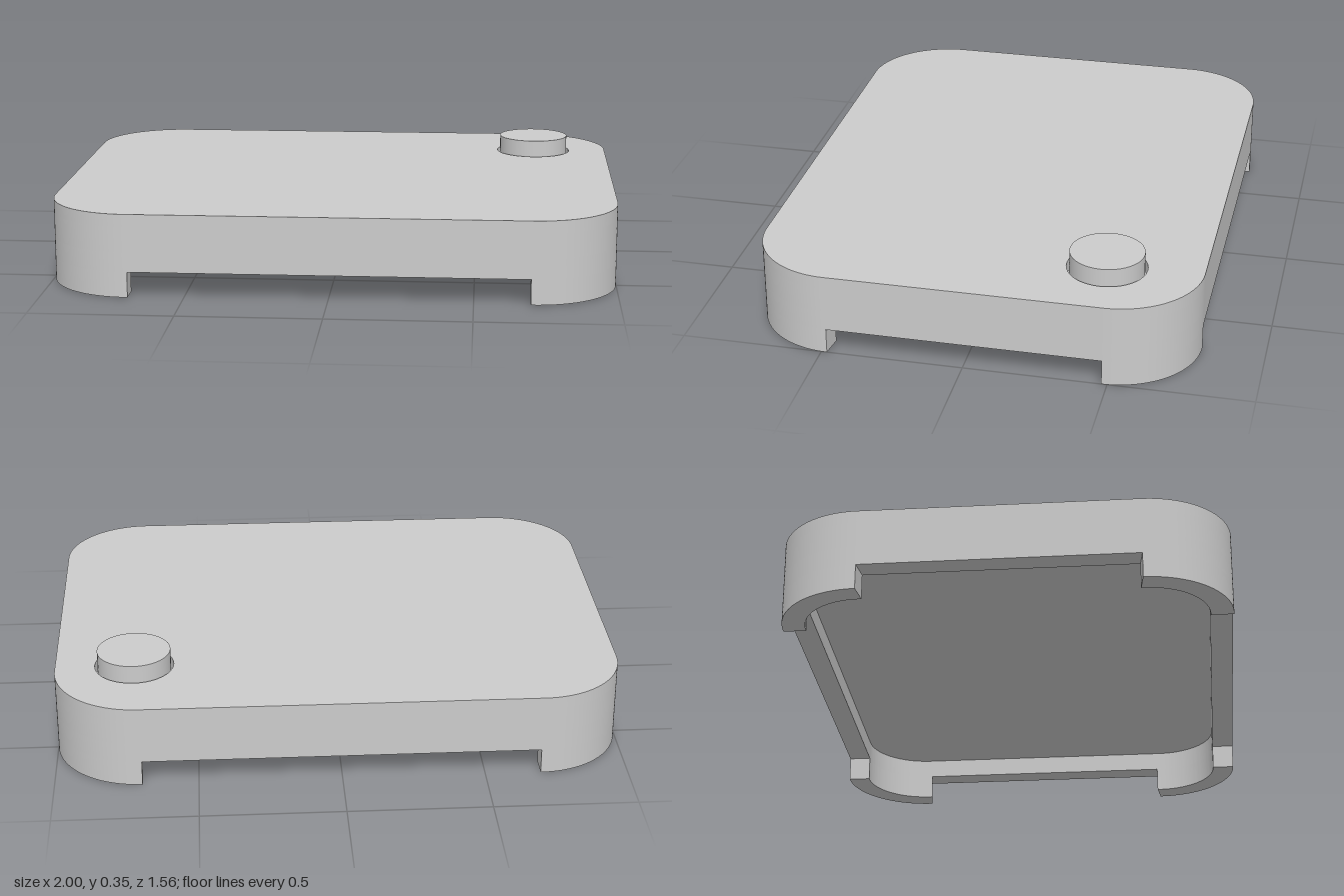
import * as THREE from 'three';
import { toCreasedNormals } from 'three/addons/utils/BufferGeometryUtils.js';

const HALF_X = 1, HALF_Z = 0.78, RADIUS = 0.3, WALL = 0.08;
const LEG_TOP = 0.09, UNDERSIDE = 0.16, RECESS = 0.25, TOP = 0.295;
const BUTTON = { x: 0.72, z: -0.445, r: 0.13, gap: 0.01, top: 0.355 };

const material = new THREE.MeshStandardMaterial({ color: 0xcccccc });

// Rounded rectangle in plan, centred on the origin
function roundedRect(Ctor, hx, hz, r) {
  const s = new Ctor();
  s.absarc(hx - r, hz - r, r, 0, Math.PI / 2);
  s.absarc(-hx + r, hz - r, r, Math.PI / 2, Math.PI);
  s.absarc(-hx + r, -hz + r, r, Math.PI, Math.PI * 1.5);
  s.absarc(hx - r, -hz + r, r, Math.PI * 1.5, Math.PI * 2);
  s.closePath();
  return s;
}

// Plan shape raised from y0 to y1, with smooth corners and sharp rims
function slab(name, shape, y0, y1) {
  const geo = new THREE.ExtrudeGeometry(shape, { depth: y1 - y0, bevelEnabled: false, curveSegments: 20 });
  geo.rotateX(-Math.PI / 2).translate(0, y0, 0);
  const mesh = new THREE.Mesh(toCreasedNormals(geo, 0.6), material);
  mesh.name = name;
  return mesh;
}

// Curved corner wall for the leg at x sign sx and plan sign sy
function legShape(sx, sy) {
  const cx = HALF_X - RADIUS, cy = HALF_Z - RADIUS;
  const endX = 0.695, endY = 0.47;
  const s = new THREE.Shape();
  s.moveTo(HALF_X, endY);
  s.absarc(cx, cy, RADIUS, 0, Math.PI / 2);
  s.lineTo(endX, HALF_Z);
  s.lineTo(endX, HALF_Z - WALL);
  s.absarc(cx, cy, RADIUS - WALL, Math.PI / 2, 0, true);
  s.lineTo(HALF_X - WALL, endY);
  return new THREE.Shape(s.getPoints(20).map(p => new THREE.Vector2(p.x * sx, p.y * sy)));
}

export function createModel() {
  const group = new THREE.Group();
  group.name = 'shallowCase';

  // Top panel with the recess around the button
  const topShape = roundedRect(THREE.Shape, HALF_X, HALF_Z, RADIUS);
  const recess = new THREE.Path();
  recess.absarc(BUTTON.x, -BUTTON.z, BUTTON.r + BUTTON.gap, 0, Math.PI * 2, true);
  topShape.holes.push(recess);
  group.add(slab('topPanel', topShape, RECESS, TOP));

  // Solid panel beneath it, which closes the recess
  group.add(slab('innerPanel', roundedRect(THREE.Shape, HALF_X, HALF_Z, RADIUS), UNDERSIDE, RECESS));

  // Rim hanging below the panel
  const rim = roundedRect(THREE.Shape, HALF_X, HALF_Z, RADIUS);
  rim.holes.push(roundedRect(THREE.Path, HALF_X - WALL, HALF_Z - WALL, RADIUS - WALL));
  group.add(slab('rim', rim, LEG_TOP, UNDERSIDE));

  // Four corner legs
  for (const [sx, sy, name] of [[1, -1, 'frontLeftLeg'], [-1, -1, 'frontRightLeg'],
    [1, 1, 'backLeftLeg'], [-1, 1, 'backRightLeg']]) {
    group.add(slab(name, legShape(sx, sy), 0, LEG_TOP));
  }

  // Round button
  const height = BUTTON.top - RECESS;
  const button = new THREE.Mesh(new THREE.CylinderGeometry(BUTTON.r, BUTTON.r, height, 48), material);
  button.position.set(BUTTON.x, RECESS + height / 2, BUTTON.z);
  button.name = 'button';
  group.add(button);

  return group;
}
